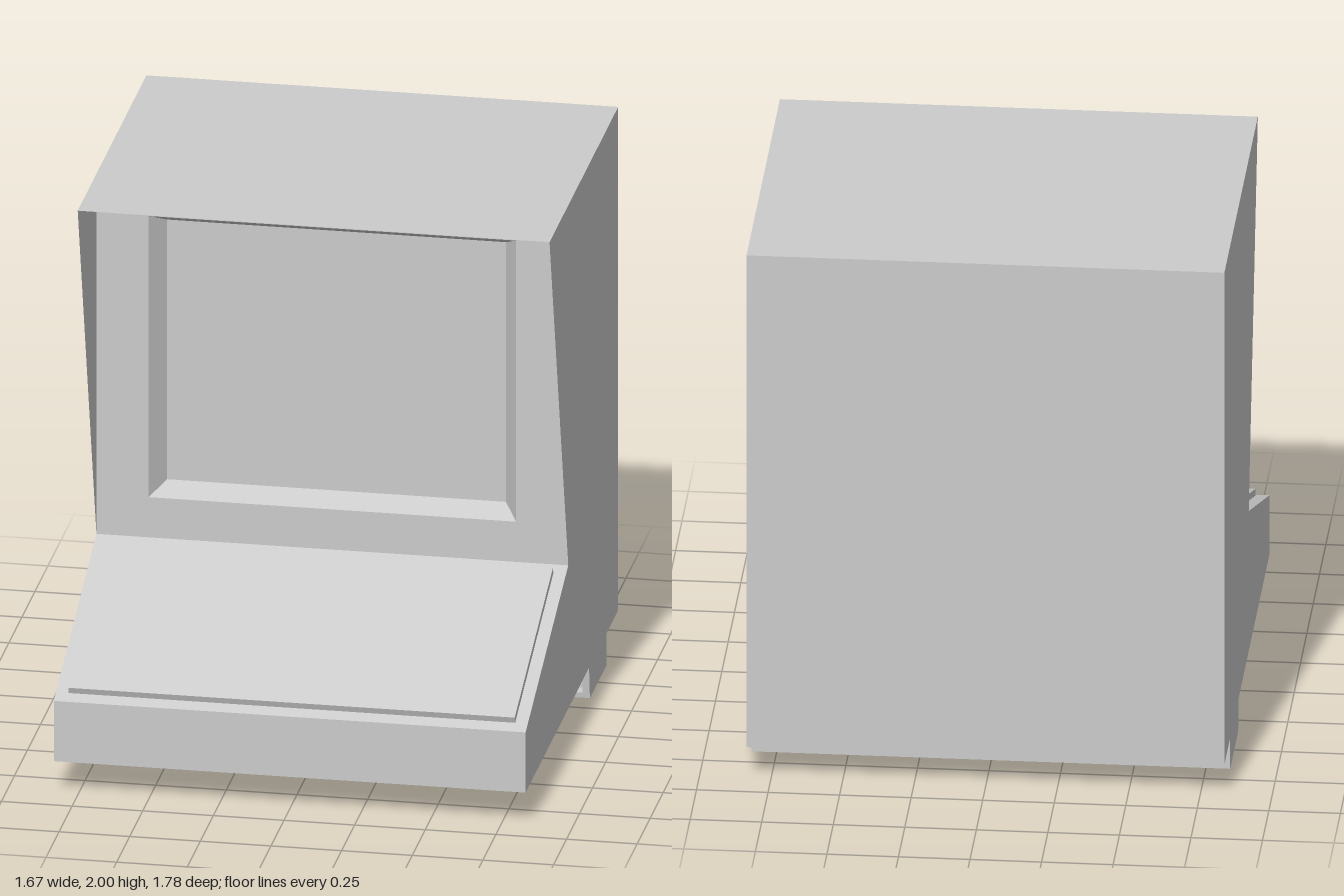
import * as THREE from 'three';

const HALF = 0.835;
const mat = new THREE.MeshStandardMaterial({ color: 0xcccccc, flatShading: true, side: THREE.DoubleSide });

function add(parent, name, geometry, x = 0, y = 0, z = 0) {
  const mesh = new THREE.Mesh(geometry, mat);
  mesh.name = name;
  mesh.position.set(x, y, z);
  parent.add(mesh);
  return mesh;
}

const shapeOf = (pts) => new THREE.Shape(pts.map(([a, b]) => new THREE.Vector2(a, b)));

// Flat four-cornered faces, corners listed counter-clockwise from outside
function quads(list) {
  const pos = [];
  for (const [a, b, c, d] of list) pos.push(...a, ...b, ...c, ...a, ...c, ...d);
  const g = new THREE.BufferGeometry();
  g.setAttribute('position', new THREE.Float32BufferAttribute(pos, 3));
  g.computeVertexNormals();
  return g;
}

const rect = (w, y0, y1) => [[-w, y0], [w, y0], [w, y1], [-w, y1]];

export function createModel() {
  const model = new THREE.Group();
  model.name = 'arcadeCabinet';

  // Cabinet silhouette as [z, y], from the hood's inner corner round to its tip
  const outline = [[0.07, 0.655], [0.89, 0.345], [0.89, 0.12], [-0.89, 0.12], [-0.89, 2], [0.43, 2]];
  for (const s of [-1, 1]) {
    const side = new THREE.ShapeGeometry(shapeOf(outline)).rotateY(-Math.PI / 2);
    add(model, s < 0 ? 'rightSide' : 'leftSide', side, s * HALF);
  }
  const skin = outline.slice(1).map(([z, y], i) => {
    const [pz, py] = outline[i];
    return [[-HALF, py, pz], [-HALF, y, z], [HALF, y, z], [HALF, py, pz]];
  });
  add(model, 'shell', quads(skin));

  // Upright bezel under the hood, with a sunken screen
  const outer = rect(0.65, 0.805, 1.855);
  const inner = rect(0.6, 0.845, 1.815);
  const bezel = shapeOf(rect(HALF, 0.655, 2));
  bezel.holes.push(shapeOf(outer));
  add(model, 'bezel', new THREE.ShapeGeometry(bezel), 0, 0, 0.07);
  const zf = 0.07, zs = -0.01;
  add(model, 'screenBevel', quads(outer.map((p, i) => {
    const j = (i + 1) % 4;
    return [[...p, zf], [...outer[j], zf], [...inner[j], zs], [...inner[i], zs]];
  })));
  add(model, 'screen', new THREE.ShapeGeometry(shapeOf(inner)), 0, 0, zs);

  // Raised plate on the sloping control deck
  const deck = add(model, 'controlPanel', new THREE.BoxGeometry(1.58, 0.025, 0.785), 0, 0.511, 0.484);
  deck.rotation.x = Math.atan2(0.31, 0.82);

  // Foot: solid rear block with a framed, recessed front
  const foot = new THREE.Group();
  foot.name = 'foot';
  model.add(foot);
  add(foot, 'footBlock', new THREE.BoxGeometry(2 * HALF, 0.12, 0.27), 0, 0.06, -0.525);
  const rim = (height, width) => new THREE.ExtrudeGeometry(
    shapeOf([[-0.39, 0], [-0.345, 0], [-0.345 + height / 8, height], [-0.39, height]]),
    { depth: width, bevelEnabled: false }
  ).translate(0, 0, -width / 2).rotateY(-Math.PI / 2);
  for (const s of [-1, 1]) add(foot, 'footCheek', rim(0.12, 0.025), s * (HALF - 0.0125));
  add(foot, 'footSill', rim(0.02, 2 * HALF - 0.05));
  add(foot, 'footPlate', new THREE.BoxGeometry(0.675, 0.045, 0.02), -0.4125, 0.0975, -0.38);

  return model;
}
